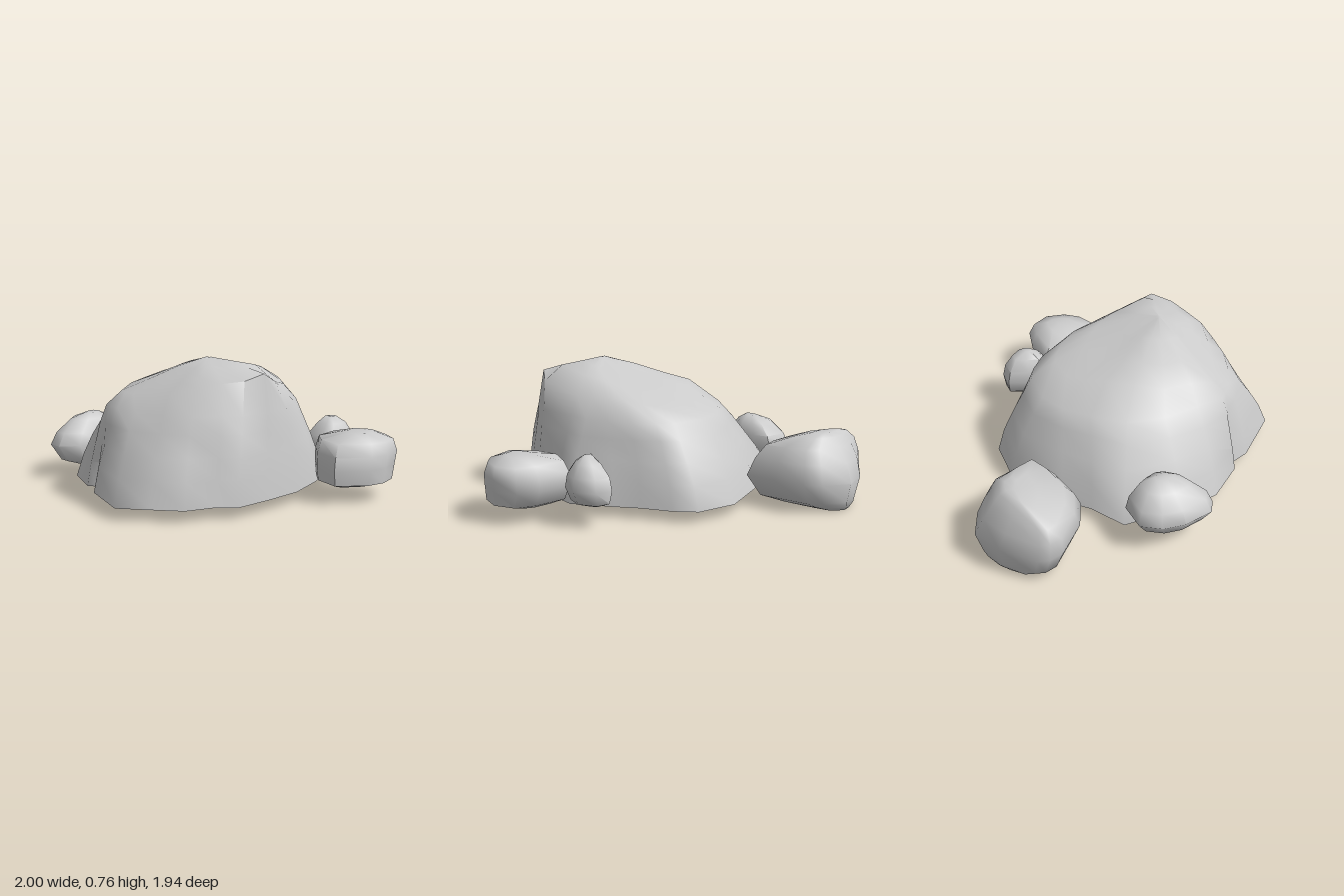
import * as THREE from 'three';
import { toCreasedNormals } from 'three/addons/utils/BufferGeometryUtils.js';

const { lerp } = THREE.MathUtils;

// Skins a stack of rings, each a list of [x, y, z] points, and closes both ends.
function skin(rings) {
  const n = rings[0].length, last = rings.length - 1, index = [];
  const middle = (ring) => [0, 1, 2].map((c) => ring.reduce((sum, p) => sum + p[c], 0) / n);
  const pos = [...rings.flat(), middle(rings[0]), middle(rings[last])].flat();
  const bottom = n * rings.length, top = bottom + 1;
  for (let i = 0; i < n; i++) {
    const j = (i + 1) % n;
    for (let k = 0; k < last; k++) {
      const a = k * n + i, b = k * n + j, c = b + n, d = a + n;
      index.push(a, d, c, a, c, b);
    }
    index.push(bottom, i, j, top, last * n + j, last * n + i);
  }
  const geo = new THREE.BufferGeometry();
  geo.setAttribute('position', new THREE.Float32BufferAttribute(pos, 3));
  geo.setIndex(index);
  return toCreasedNormals(geo, 1.05);
}

// Stone: one plan outline fitted to each level [y, x0, x1, z0, z1]
function stoneRings(outline, levels) {
  const xs = outline.map((p) => p[0]), zs = outline.map((p) => p[1]);
  const minX = Math.min(...xs), maxX = Math.max(...xs);
  const minZ = Math.min(...zs), maxZ = Math.max(...zs);
  return levels.map(([y, x0, x1, z0, z1]) => outline.map(([x, z]) => [
    lerp(x0, x1, (x - minX) / (maxX - minX)), y,
    lerp(z0, z1, (z - minZ) / (maxZ - minZ)),
  ]));
}

// Sloping planes that form the top of the boulder, with the peak near the front
function roof(x, z) {
  return Math.min(
    0.76 - 0.32 * (0.4 - z), // back
    0.76 - 0.42 * (z - 0.4), // front
    0.76 - 0.37 * (0.03 - x), // right
    0.68 + 0.34 * (x + 0.21) - 0.51 * (z - 0.41), // front right corner
    0.76 - 0.06 * (x - 0.03), // plateau
    0.66 - 0.77 * (x - 0.41) + 0.24 * (z - 0.5) // left
  );
}

// Boulder: walls run from base to shoulder to crown, then close in under the roof
function boulderRings(base, shoulder, crown) {
  const foot = 0.06, shoulderY = 0.5;
  const dent = (x, y, z) => 0.012 * Math.sin(11 * x + 7 * y) * Math.cos(9 * z - 8 * y);
  const rings = [0, 0.3, 0.55, 0.8, 1].map((f) => base.map(([x, z], i) => {
    const t = f ** 1.35, y = lerp(foot, shoulderY, f);
    const px = lerp(x, shoulder[i][0], t), pz = lerp(z, shoulder[i][1], t);
    const s = 1 + f * dent(px, y, pz) * 1.5;
    return [px * s, Math.min(y, roof(px, pz)), 0.2 + (pz - 0.2) * s];
  }));
  for (const scale of [1, 0.7, 0.36, 0.03]) {
    rings.push(crown.map(([x, z]) => {
      const px = lerp(0.04, x, scale), pz = lerp(0.4, z, scale);
      return [px, roof(px, pz) + dent(px, 0, pz) * scale * (1 - scale) * 3, pz];
    }));
  }
  return rings;
}

export function createModel() {
  const group = new THREE.Group();
  const material = new THREE.MeshStandardMaterial({ color: 0xcccccc });
  const addRock = (name, rings) => {
    const mesh = new THREE.Mesh(skin(rings), material);
    mesh.name = name;
    group.add(mesh);
  };

  // Large flat-bottomed boulder
  addRock('boulder', boulderRings([
    [-0.09, -0.58], [0.15, -0.56], [0.25, -0.46], [0.34, -0.31], [0.43, -0.2],
    [0.58, 0], [0.57, 0.14], [0.52, 0.4], [0.42, 0.6], [0.31, 0.79],
    [0.2, 0.82], [0.07, 0.93], [-0.1, 0.95], [-0.28, 0.97], [-0.5, 0.7],
    [-0.54, 0.57], [-0.59, 0.57], [-0.74, 0.36], [-0.76, 0.15], [-0.74, -0.2],
    [-0.55, -0.3], [-0.42, -0.42],
  ], [
    [-0.06, -0.36], [0.14, -0.35], [0.22, -0.3], [0.31, -0.2], [0.38, -0.08],
    [0.44, 0.04], [0.455, 0.16], [0.455, 0.4], [0.39, 0.55], [0.3, 0.68],
    [0.2, 0.71], [0.06, 0.77], [-0.1, 0.76], [-0.27, 0.69], [-0.39, 0.62],
    [-0.46, 0.56], [-0.5, 0.52], [-0.51, 0.36], [-0.51, 0.15], [-0.46, -0.05],
    [-0.33, -0.2], [-0.2, -0.3],
  ], [
    [-0.02, -0.2], [0.14, -0.2], [0.2, -0.16], [0.27, -0.08], [0.32, 0],
    [0.36, 0.08], [0.39, 0.18], [0.41, 0.46], [0.37, 0.53], [0.29, 0.62],
    [0.18, 0.65], [0.06, 0.69], [-0.1, 0.65], [-0.22, 0.6], [-0.33, 0.55],
    [-0.39, 0.51], [-0.42, 0.48], [-0.41, 0.36], [-0.4, 0.2], [-0.33, 0.06],
    [-0.22, -0.06], [-0.12, -0.14],
  ]));

  // Large stone behind
  addRock('backStone', stoneRings([
    [-0.58, -0.97], [-0.43, -0.9], [-0.36, -0.83], [-0.32, -0.65], [-0.28, -0.48],
    [-0.4, -0.42], [-0.6, -0.385], [-0.75, -0.46], [-0.9, -0.62], [-0.92, -0.7],
    [-0.9, -0.76], [-0.74, -0.9],
  ], [
    [0, -0.74, -0.52, -0.9, -0.74],
    [0.025, -0.83, -0.42, -0.92, -0.58],
    [0.055, -0.88, -0.34, -0.935, -0.45],
    [0.17, -0.92, -0.28, -0.97, -0.385],
    [0.27, -0.92, -0.31, -0.925, -0.43],
    [0.345, -0.89, -0.35, -0.875, -0.49],
    [0.4, -0.79, -0.44, -0.83, -0.64],
    [0.42, -0.71, -0.52, -0.8, -0.72],
  ]));

  // Stone on the model's right
  addRock('rightStone', stoneRings([
    [-0.91, -0.2], [-0.75, -0.2], [-0.71, -0.11], [-0.68, 0], [-0.7, 0.08],
    [-0.79, 0.19], [-0.9, 0.235], [-0.97, 0.19], [-1, 0.02], [-0.98, -0.1],
  ], [
    [0.07, -0.87, -0.71, -0.08, 0.12],
    [0.1, -0.94, -0.69, -0.14, 0.2],
    [0.19, -1, -0.68, -0.2, 0.235],
    [0.26, -0.97, -0.685, -0.18, 0.205],
    [0.33, -0.9, -0.71, -0.12, 0.12],
    [0.36, -0.82, -0.76, -0.05, 0.05],
  ]));

  // Blocky stone on the model's left
  addRock('leftStone', stoneRings([
    [0.62, -0.06], [0.82, -0.065], [0.94, -0.03], [1, 0.1], [0.97, 0.24],
    [0.9, 0.33], [0.72, 0.405], [0.6, 0.27], [0.56, 0.12],
  ], [
    [0.075, 0.66, 0.88, 0.03, 0.3],
    [0.1, 0.57, 0.98, -0.02, 0.39],
    [0.18, 0.56, 0.99, -0.055, 0.405],
    [0.25, 0.56, 1, -0.065, 0.395],
    [0.315, 0.58, 0.98, -0.03, 0.355],
    [0.35, 0.74, 0.88, 0.05, 0.22],
  ]));

  // Small stone beside it
  addRock('smallStone', stoneRings([
    [0.55, -0.33], [0.65, -0.325], [0.72, -0.22], [0.69, -0.11], [0.63, -0.045],
    [0.56, -0.045], [0.46, -0.11], [0.5, -0.22],
  ], [
    [0.11, 0.52, 0.64, -0.27, -0.09],
    [0.13, 0.49, 0.69, -0.32, -0.07],
    [0.2, 0.46, 0.72, -0.33, -0.045],
    [0.27, 0.47, 0.71, -0.315, -0.06],
    [0.335, 0.52, 0.67, -0.27, -0.11],
    [0.37, 0.56, 0.62, -0.2, -0.16],
  ]));

  return group;
}
